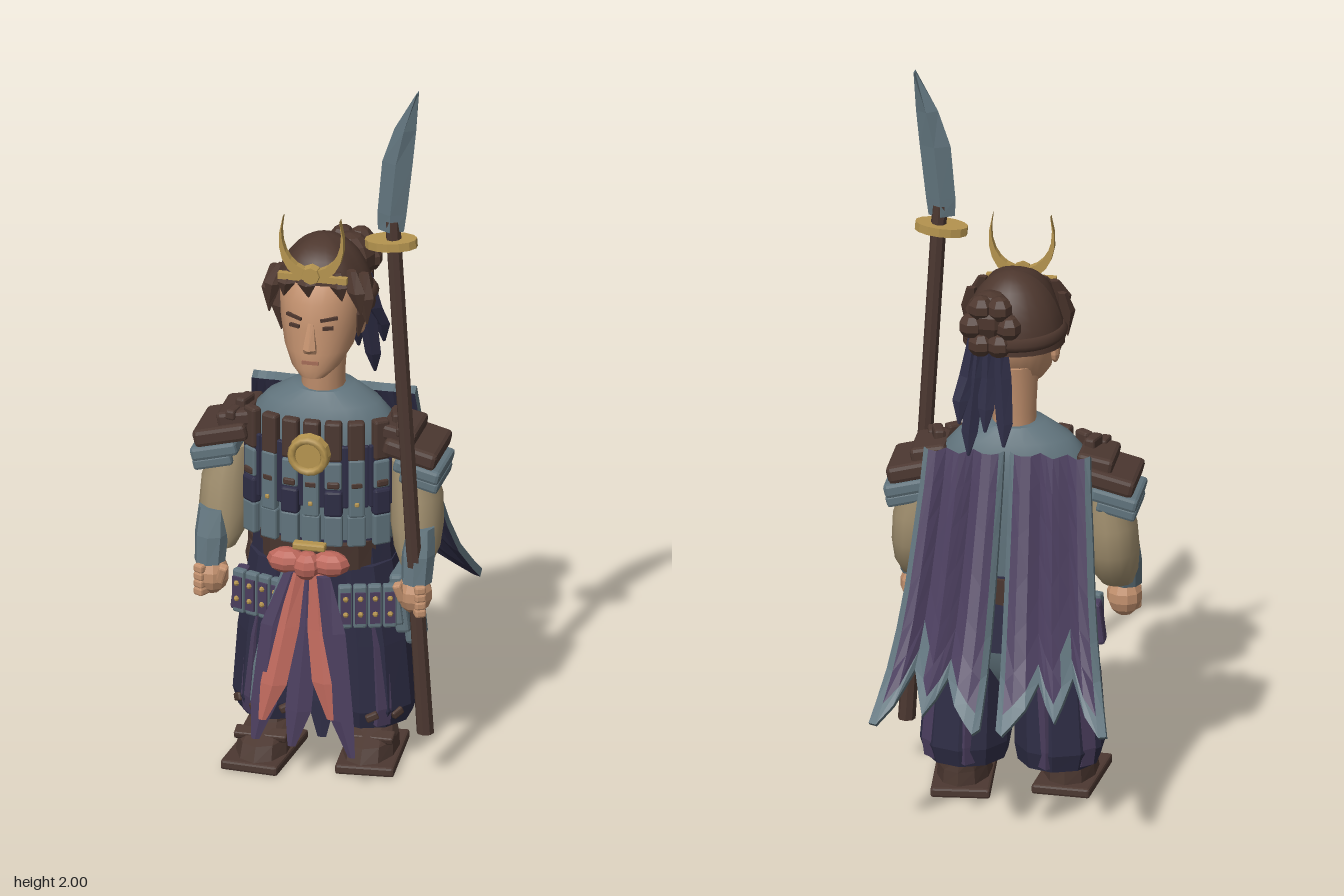
import * as THREE from 'three';
import { toCreasedNormals } from 'three/addons/utils/BufferGeometryUtils.js';
import { RoundedBoxGeometry } from 'three/addons/geometries/RoundedBoxGeometry.js';

const paint = (name, color) => Object.assign(new THREE.MeshStandardMaterial({ color }), { name });
const M = {
  hair: paint('hair brown', 0x4d372e), leather: paint('leather brown', 0x4c3831), skin: paint('skin', 0xc4926f),
  slate: paint('slate cloth', 0x61747d), purple: paint('purple cloth', 0x4b3e5e), navy: paint('navy cloth', 0x2e2d45),
  coral: paint('coral sash', 0xbd685c), gold: paint('gold', 0xb5944f), tan: paint('tan sleeve', 0xa39170), lip: paint('lip', 0xa56d58),
};

const soup = (pts) => {
  const g = new THREE.BufferGeometry();
  g.setAttribute('position', new THREE.Float32BufferAttribute(pts, 3));
  g.computeVertexNormals();
  return g;
};
const flat = (g) => { const f = g.index ? g.toNonIndexed() : g; f.computeVertexNormals(); return f; };

// Closed loft through elliptical rings [y, x, z, rx, rz]
function loft(rings, n = 8, smooth = false) {
  const r = rings[0][0] > rings[rings.length - 1][0] ? [...rings].reverse() : rings;
  const p = (k, i) => {
    const a = (i % n) / n * Math.PI * 2, [y, x, z, rx, rz] = r[k];
    return [x + rx * Math.sin(a), y, z + rz * Math.cos(a)];
  };
  const out = [], last = r.length - 1, mid = (k) => [r[k][1], r[k][0], r[k][2]];
  for (let i = 0; i < n; i++) {
    for (let k = 0; k < last; k++) {
      const a = p(k, i), b = p(k, i + 1), c = p(k + 1, i + 1), d = p(k + 1, i);
      out.push(...a, ...b, ...c, ...a, ...c, ...d);
    }
    out.push(...mid(0), ...p(0, i + 1), ...p(0, i), ...mid(last), ...p(last, i), ...p(last, i + 1));
  }
  const g = soup(out);
  return smooth ? toCreasedNormals(g, 0.9) : g;
}
const box = (w, h, d) => new THREE.BoxGeometry(w, h, d);
const slab = (w, h, d) => flat(new RoundedBoxGeometry(w, h, d, 1, Math.min(w, h, d) * 0.25));
const ball = (r, w = 10, h = 7) => flat(new THREE.SphereGeometry(r, w, h));

export function createModel() {
  const root = new THREE.Group();
  const add = (name, geo, mat, x = 0, y = 0, z = 0, rx = 0, ry = 0, rz = 0) => {
    const m = new THREE.Mesh(geo, mat);
    m.name = name; m.position.set(x, y, z); m.rotation.set(rx, ry, rz);
    root.add(m);
    return m;
  };
  const both = (f) => [1, -1].forEach(f);

  // Head and face
  add('neck', loft([[1.04, 0, .09, .06, .064], [1.1, 0, .095, .058, .066], [1.24, 0, .09, .066, .08]], 14, true), M.skin);
  add('head', loft([[1.14, 0, .208, .036, .032], [1.165, 0, .178, .066, .068], [1.21, 0, .138, .093, .105], [1.28, 0, .122, .107, .117],
    [1.35, 0, .113, .112, .12], [1.42, 0, .1, .1, .1], [1.47, 0, .09, .05, .05]], 24, true), M.skin);
  add('nose', loft([[1.217, 0, .242, .019, .012], [1.23, 0, .244, .02, .022], [1.3, 0, .232, .009, .008]], 6), M.skin);
  add('mouth', box(.045, .01, .009), M.lip, 0, 1.188, .241);
  both((s) => {
    add('ear', ball(.026), M.skin, s * .108, 1.265, .11).scale.set(.5, 1.3, .9);
    add('eye', box(.03, .009, .008), M.hair, s * .046, 1.288, .23, 0, s * .38);
    add('eyebrow', box(.048, .008, .009), M.hair, s * .048, 1.313, .226, 0, s * .38, s * .12);
  });

  // Hair cap with a rim that rises over the forehead
  const cap = new THREE.SphereGeometry(1, 24, 10, 0, Math.PI * 2, 0, Math.PI / 2), cp = cap.attributes.position;
  for (let i = 0; i < cp.count; i++) {
    const x = cp.getX(i), y = cp.getY(i), z = cp.getZ(i);
    const base = 1.3 + .1 * THREE.MathUtils.smoothstep(z / (Math.hypot(x, z) || 1), .35, .85);
    cp.setXYZ(i, x * .138, base + (1.5 - base) * y, .083 + z * .128);
  }
  cap.computeVertexNormals();
  add('hairCap', cap, M.hair);
  add('hairRim', new THREE.TorusGeometry(.126, .02, 5, 20, Math.PI * 1.2), M.hair, 0, 1.335, .08, Math.PI / 2, 0, Math.PI * .9);
  // Loose locks: widest in the middle, pointed below
  for (const [x, top, z, h, dx] of [[-.122, 1.42, .15, .13, -.012], [.124, 1.42, .15, .14, .012], [-.095, 1.44, .185, .11, -.03], [.098, 1.44, .185, .12, .03],
    [-.06, 1.44, .205, .075, -.02], [.06, 1.44, .205, .075, .02], [-.02, 1.44, .213, .07, .01], [.114, 1.36, .125, .13, -.008], [-.114, 1.36, .125, .13, .008]])
    add('hairLock', loft([[top, x, z - .01, .014, .012], [top - h * .45, x + dx * .6, z + .008, .026, .02], [top - h, x + dx, z + .008, .002, .002]], 5), M.hair);
  add('bun', ball(.07), M.hair, .05, 1.4, -.002);
  for (let i = 0; i < 6; i++)
    add('bunBraid', ball(.036, 7, 5), M.hair, .045 + .05 * Math.cos(i * 1.05), 1.385 + .06 * Math.sin(i * 1.05), -.042);
  [[.02, -.02, 1.06], [.05, .0, 1.1], [.075, .02, 1.03], [.09, .03, 1.12]].forEach(([x, dx, end]) =>
    add('hairRibbon', loft([[1.35, x, -.02, .016, .016], [1.24, x + dx * .4, -.045, .026, .018], [end + .06, x + dx, -.075, .022, .014], [end, x + dx, -.095, .004, .004]], 4), M.navy));

  // Crescent headpiece
  const crescent = new THREE.Shape();
  crescent.moveTo(-.078, 1.605);
  crescent.bezierCurveTo(-.15, 1.36, .15, 1.36, .078, 1.605);
  crescent.bezierCurveTo(.118, 1.402, -.118, 1.402, -.078, 1.605);
  add('crescent', new THREE.ExtrudeGeometry(crescent, { depth: .022, bevelEnabled: false, curveSegments: 14 }), M.gold, 0, 0, .212);
  add('headband', box(.19, .018, .018), M.gold, 0, 1.425, .214);
  add('headpieceBoss', flat(new THREE.CylinderGeometry(.024, .028, .024, 8)), M.gold, 0, 1.44, .229, Math.PI / 2);

  // Torso, belt and chest armour
  add('torso', loft([[.6, 0, .09, .185, .11], [.75, 0, .09, .2, .118], [.9, 0, .09, .208, .12], [.98, 0, .09, .2, .11],
    [1.03, 0, .09, .155, .095], [1.07, 0, .09, .085, .075]], 24, true), M.slate);
  add('belt', loft([[.575, 0, .1, .172, .135], [.65, 0, .1, .172, .14]], 16), M.leather);
  for (let i = -3; i <= 3; i++) {
    const x = i * .058, k = Math.sqrt(1 - (x / .215) ** 2), z = .095 + .125 * k, ry = Math.atan2(x * .125 / .046, k);
    const plate = (name, w, h, d, mat, y, out) => add(name, slab(w, h, d), mat, x + out * Math.sin(ry), y, z + out * Math.cos(ry), 0, ry);
    plate('chestBacking', .066, .18, .014, M.navy, .85, .002);
    plate('chestStrap', .046, .115, .03, M.leather, .955, .004);
    if (i % 2) {
      plate('chestPlate', .046, .08, .022, M.slate, .855, .006);
      plate('chestBand', .05, .075, .03, M.navy, .775, .006);
    } else {
      plate('chestPlate', .044, .17, .026, M.slate, .82, .008);
      plate('chestStud', .012, .012, .012, M.gold, .775, .02);
    }
    plate('waistPlate', .05, .09, .022, M.slate, .695, .008);
    plate('chestBuckle', .034, .02, .02, M.leather, .83, .012);
  }
  add('medallion', flat(new THREE.CylinderGeometry(.054, .058, .025, 12)), M.gold, 0, .925, .255, Math.PI / 2);
  add('medallionRim', new THREE.TorusGeometry(.046, .011, 6, 16), M.gold, 0, .925, .268);

  // Arms, shoulder guards and hands
  both((s) => {
    add('shoulderGuard', slab(.15, .05, .19), M.leather, s * .262, .925, .108, 0, 0, -s * .25);
    add('shoulderGuardTop', slab(.1, .045, .15), M.leather, s * .225, .97, .108, 0, 0, -s * .2);
    add('shoulderBuckle', slab(.03, .04, .06), M.leather, s * .21, 1.0, .12, 0, s * .3);
    add('shoulderCorner', slab(.028, .03, .05), M.leather, s * .232, .985, .165, 0, s * .2);
    add('shoulderPlate', slab(.13, .04, .18), M.slate, s * .28, .875, .108, 0, 0, -s * .25);
    add('shoulderPlateLower', slab(.11, .035, .165), M.slate, s * .285, .842, .108, 0, 0, -s * .25);
    add('sleeve', loft([[.88, s * .245, .1, .055, .07], [.78, s * .26, .105, .07, .086], [.7, s * .264, .115, .071, .086],
      [.635, s * .267, .13, .062, .072], [.595, s * .27, .15, .044, .05]], 14, true), M.tan);
    add('bracer', loft([[.71, s * .285, .17, .04, .04], [.64, s * .285, .188, .046, .05], [.565, s * .285, .208, .042, .042]], 8), M.slate);
    add('hand', ball(.048), M.skin, s * .28, .53, .208).scale.set(1, 1.2, 1);
    for (let i = 0; i < 4; i++)
      add('finger', slab(.03, .024, .05), M.skin, s * .297, .556 - i * .022, .234, 0, s * .5);
    add('thumb', slab(.024, .055, .028), M.skin, s * .246, .54, .235, .2, 0, s * .3);
  });

  // Trousers and shoes
  add('hips', loft([[.44, 0, .08, .2, .125], [.55, 0, .085, .2, .122], [.655, 0, .09, .19, .118]], 14), M.navy);
  add('underskirt', loft([[.34, 0, .08, .12, .08], [.39, 0, .08, .175, .112], [.45, 0, .08, .195, .122]], 14, true), M.slate);
  both((s) => {
    add('trouserLeg', loft([[.11, s * .125, .07, .112, .125], [.16, s * .128, .07, .124, .139], [.35, s * .12, .075, .117, .13], [.58, s * .1, .085, .1, .115]], 10), M.navy);
    // Purple pleats standing just proud of the leg
    [.5, 2.3, 3.3, 5.6].forEach((a) => {
      const ring = (y, cx, rx, rz) => [y, s * (cx + rx * Math.sin(a)), .072 + rz * Math.cos(a), .03, .028];
      add('pleat', loft([ring(.12, .125, .1, .111), ring(.17, .127, .106, .116), ring(.35, .12, .096, .108), ring(.56, .1, .08, .094)], 4), M.purple);
    });
    [.3, .9, -.4].forEach((a) => add('cuffTie', slab(.035, .022, .02), M.leather, s * (.125 + .118 * Math.sin(a)), .15, .07 + .136 * Math.cos(a), 0, s * a, .4));
    const z = s > 0 ? .125 : .18;
    add('sole', slab(.16, .028, .27), M.leather, s * .142, .014, z, 0, s * .08);
    add('shoe', loft([[.025, s * .14, z + .005, .074, .125], [.065, s * .14, z - .005, .07, .11], [.1, s * .138, z - .045, .055, .065], [.15, s * .135, z - .055, .05, .055]], 10), M.leather);
    add('shoeStrap', slab(.145, .02, .04), M.leather, s * .14, .078, z + .04, .3);

    // Hip guards: slate plates with purple panels and gold studs
    for (let i = 0; i < 4; i++) {
      const x = .092 + i * .038, gz = .226 - i * .012;
      const on = (name, geo, mat, y, out) => add(name, geo, mat, s * (x + out * .34), y, gz + out * .94, 0, s * .35);
      on('hipGuard', slab(.037, .125, .024), M.slate, .478, 0);
      on('hipGuardPanel', box(.028, .09, .009), M.purple, .477, .013);
      on('hipGuardStud', ball(.008, 6, 4), M.gold, .505, .018);
      on('hipGuardStud', ball(.008, 6, 4), M.gold, .46, .018);
    }
    add('sideGuard', slab(.035, .12, .05), s > 0 ? M.slate : M.purple, s * .215, .47, .15, 0, 0, s * .12);
  });
  add('sideGuardUpper', slab(.04, .17, .13), M.slate, .225, .47, .1, 0, 0, .12);
  add('sideGuardLower', slab(.045, .12, .09), M.slate, .25, .4, .085, 0, 0, .1);
  add('pouch', ball(.07, 9, 6), M.leather, -.175, .5, -.01).scale.set(.95, 1.25, .85);
  add('pouchFlap', slab(.1, .06, .09), M.leather, -.178, .55, -.015, 0, .5);

  // Sash bow and hanging ribbons
  add('sashKnot', ball(.04, 8, 6), M.coral, 0, .61, .277);
  both((s) => add('sashLoop', ball(.05, 8, 6), M.coral, s * .06, .615, .264).scale.set(1.1, .7, .8));
  add('sashClasp', slab(.09, .02, .03), M.gold, 0, .655, .25);
  const ribbon = (name, mat, x0, x1, x2, end, z, w) => add(name, loft([[.59, x0, z - .055, w * .6, .012], [.44, x1, z - .03, w, .014],
    [end + .1, (x1 + x2) / 2, z, w, .014], [end, x2, z + .015, w * .3, .004]], 4), mat);
  ribbon('sashTail', M.coral, -.025, -.05, -.105, .18, .338, .036);
  ribbon('sashTail', M.coral, .03, .045, .085, .2, .34, .036);
  ribbon('clothTail', M.purple, -.04, -.085, -.125, .12, .335, .036);
  ribbon('clothTail', M.purple, 0, 0, -.03, .1, .315, .036);
  ribbon('clothTail', M.purple, .05, .085, .145, .1, .352, .032);
  ribbon('clothTail', M.navy, .01, .04, .05, .13, .3, .04);
  ribbon('clothTail', M.slate, -.06, -.1, -.14, .22, .31, .02);

  // Cape halves: three-tailed folded sheets with slate border and navy lining
  const fall = new THREE.CatmullRomCurve3([[1.02, -.045], [.85, -.105], [.62, -.2], [.46, -.285], [.345, -.39]].map(([y, z]) => new THREE.Vector3(0, y, z)));
  const us = [0, .06, .15, .27, .38, .46, .55, .62, .72, .84, .94, 1];
  const ends = [1, 1, .93, .86, .78, .85, .9, .84, .75, .87, .98, 1];
  const folds = [.022, 0, -.014, -.008, .024, .002, -.02, -.002, .024, -.012, 0, .022];
  const vs = [0, .15, .3, .45, .6, .75, .9, 1], nu = us.length - 1, nv = vs.length - 1;
  both((s) => {
    const point = (i, j, lining) => {
      const u = us[i], v = vs[j] * ends[i], p = fall.getPoint(v);
      const x = THREE.MathUtils.lerp(.008 + .217 * u, .022 + .3 * u, v ** 1.4);
      const sway = folds[i] * (.4 + 1.4 * v * (1.3 - v));
      return [s * x, p.y + sway * .5 - (lining ? .014 : 0), p.z + sway + (lining ? .022 : 0)];
    };
    const parts = { purple: [], slate: [], navy: [] };
    const quad = (list, a, b, c, d) => s > 0 ? list.push(...a, ...b, ...c, ...a, ...c, ...d) : list.push(...a, ...c, ...b, ...a, ...d, ...c);
    for (let i = 0; i < nu; i++) {
      for (let j = 0; j < nv; j++) {
        // The border runs round the sheet and up the cleft of the outer tail
        const edge = i === 0 || i === nu - 1 || j === nv - 1 || (i === 7 && j >= nv - 2);
        quad(parts[edge ? 'slate' : 'purple'], point(i, j), point(i + 1, j), point(i + 1, j + 1), point(i, j + 1));
        quad(parts.navy, point(i, j, 1), point(i, j + 1, 1), point(i + 1, j + 1, 1), point(i + 1, j, 1));
      }
      quad(parts.slate, point(i, 0, 1), point(i + 1, 0, 1), point(i + 1, 0), point(i, 0));
      quad(parts.slate, point(i, nv), point(i + 1, nv), point(i + 1, nv, 1), point(i, nv, 1));
    }
    for (let j = 0; j < nv; j++) {
      quad(parts.slate, point(0, j, 1), point(0, j), point(0, j + 1), point(0, j + 1, 1));
      quad(parts.slate, point(nu, j), point(nu, j, 1), point(nu, j + 1, 1), point(nu, j + 1));
    }
    add('capeCloth', soup(parts.purple), M.purple);
    add('capeBorder', soup(parts.slate), M.slate);
    add('capeLining', soup(parts.navy), M.navy);
  });

  // Glaive
  add('shaft', loft([[.13, .312, .22, .024, .024], [.6, .283, .22, .021, .021], [1.62, .222, .22, .021, .021]], 8), M.leather);
  add('handGuard', flat(new THREE.CylinderGeometry(.072, .072, .024, 14)), M.gold, .218, 1.555, .22, 0, 0, .08).scale.z = .6;
  add('blade', loft([[1.59, .217, .22, .036, .02], [1.64, .22, .22, .04, .02], [1.79, .235, .22, .042, .02], [1.89, .257, .22, .03, .02], [2, .291, .22, .002, .016]], 4), M.slate);
  return root;
}
